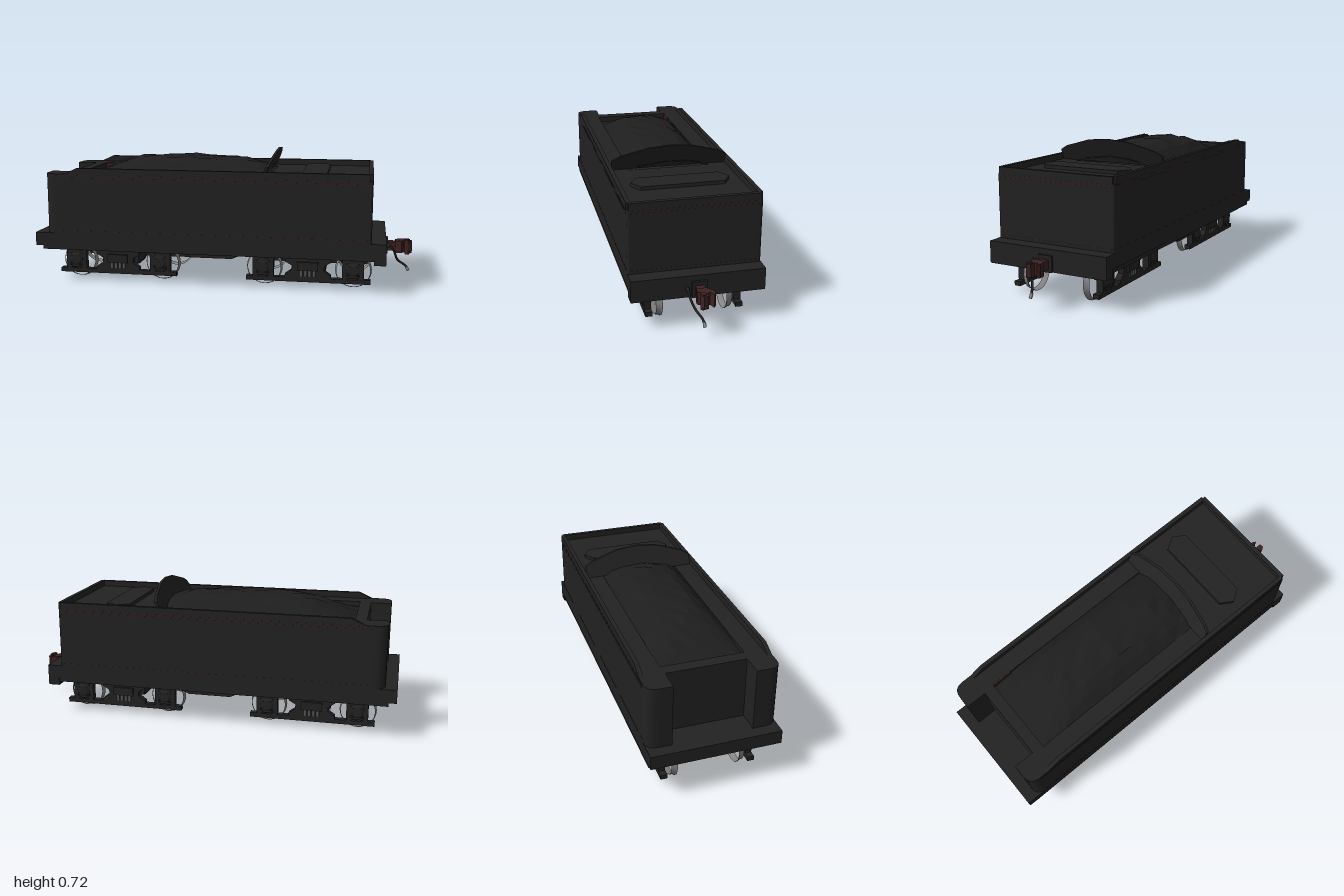
import * as THREE from 'three';

const mat = (name, color, extra = {}) => {
  const m = new THREE.MeshStandardMaterial({ color, ...extra });
  m.name = name;
  return m;
};

export function createModel() {
  const black = mat('black paint', 0x222222);
  const coalBlack = mat('coal black', 0x1e1e1e, { flatShading: true });
  const red = mat('dark red lining', 0x3c1c1c);
  const rust = mat('rusty iron', 0x3c2222);
  const steel = mat('wheel steel', 0x858585, { side: THREE.DoubleSide });
  const grey = mat('spring grey', 0x555555);

  const model = new THREE.Group();
  model.name = 'tender';
  const add = (name, geo, material, parent = model) => {
    const m = new THREE.Mesh(geo, material);
    m.name = name;
    parent.add(m);
    return m;
  };
  // box given by its limits
  const box = (name, x0, x1, y0, y1, z0, z1, material = black, parent = model) => {
    const m = add(name, new THREE.BoxGeometry(x1 - x0, y1 - y0, z1 - z0), material, parent);
    m.position.set((x0 + x1) / 2, (y0 + y1) / 2, (z0 + z1) / 2);
    return m;
  };
  const poly = pts => new THREE.Shape(pts.map(p => new THREE.Vector2(...p)));
  const extrude = (shape, depth) =>
    new THREE.ExtrudeGeometry(shape, { depth, bevelEnabled: false, curveSegments: 6 });
  // plan outline raised from y0 to y1
  const raise = (shape, y0, y1) => extrude(shape, y1 - y0).rotateX(-Math.PI / 2).translate(0, y0, 0);

  // Underframe
  box('deck', -1, 0.86, 0.2, 0.27, -0.325, 0.325);
  box('skirt', -0.96, 0.8, 0.18, 0.2, -0.322, 0.322);
  box('endBeam', 0.8, 0.86, 0.16, 0.2, -0.325, 0.325);
  const belly = poly([[-0.19, 0.18], [-0.15, 0.162], [0.07, 0.162], [0.11, 0.18]]);
  add('belly', extrude(belly, 0.62).translate(0, 0, -0.31), black);

  // Tank outline with rounded corners and a recess between two wings
  const plan = () => {
    const s = new THREE.Shape();
    s.moveTo(-0.83, -0.2);
    s.lineTo(-0.94, -0.2);
    s.lineTo(-0.94, -0.265);
    s.quadraticCurveTo(-0.94, -0.325, -0.88, -0.325);
    s.lineTo(0.77, -0.325);
    s.quadraticCurveTo(0.785, -0.325, 0.785, -0.31);
    s.lineTo(0.785, 0.31);
    s.quadraticCurveTo(0.785, 0.325, 0.77, 0.325);
    s.lineTo(-0.88, 0.325);
    s.quadraticCurveTo(-0.94, 0.325, -0.94, 0.265);
    s.lineTo(-0.94, 0.2);
    s.lineTo(-0.83, 0.2);
    s.closePath();
    return s;
  };
  add('tank', raise(plan(), 0.27, 0.55), black);
  const top = plan();
  top.holes.push(new THREE.Path([[-0.77, -0.21], [-0.77, 0.21], [0.25, 0.21], [0.25, -0.21]]
    .map(p => new THREE.Vector2(...p))));
  add('tankTop', raise(top, 0.55, 0.59), black);

  // Raised rim: two sides with a ramp, and the end
  const rim = poly([[-0.85, 0.59], [0.77, 0.59], [0.77, 0.622], [-0.76, 0.622], [-0.83, 0.59]]);
  for (const z of [-0.325, 0.303]) add('sideRim', extrude(rim, 0.022).translate(0, 0, z), black);
  box('endRim', 0.763, 0.785, 0.59, 0.622, -0.315, 0.315);
  box('bunkerLining', -0.77, -0.66, 0.552, 0.589, -0.21, -0.205, red);

  // Lining stripes on the sides and end
  for (const y of [0.285, 0.57, 0.584]) {
    for (const s of [-1, 1]) box('sideStripe', -0.88, 0.77, y - 0.0012, y + 0.0012, s * 0.325 - 0.001, s * 0.325 + 0.001, red);
    box('endStripe', 0.784, 0.786, y - 0.0012, y + 0.0012, -0.31, 0.31, red);
  }

  // Water hatch
  const hatch = poly([[0.42, -0.21], [0.485, -0.25], [0.55, -0.21], [0.55, 0.21], [0.485, 0.25], [0.42, 0.21]]);
  add('hatch', raise(hatch, 0.59, 0.608), black);

  // Arched coal board leaning backwards
  const arch = poly([[-0.302, 0.59], [0.302, 0.59], [0.302, 0.645], [0.257, 0.67], [0.115, 0.71],
    [0, 0.72], [-0.115, 0.71], [-0.257, 0.67], [-0.302, 0.645]]);
  const board = extrude(arch, 0.014).rotateY(Math.PI / 2);
  const bp = board.attributes.position;
  for (let i = 0; i < bp.count; i++) bp.setX(i, bp.getX(i) + 0.225 + (bp.getY(i) - 0.61) * 0.46);
  board.computeVertexNormals();
  add('coalBoard', board, black);

  // Coal heap: a domed grid with small seeded bumps
  let seed = 7;
  const rand = () => (seed = (seed * 16807) % 2147483647) / 2147483647;
  const ridge = [[-0.77, 0.56], [-0.62, 0.622], [-0.51, 0.662], [-0.2, 0.672], [0.1, 0.66], [0.25, 0.622]];
  const ridgeAt = x => {
    let i = 0;
    while (i < ridge.length - 2 && x > ridge[i + 1][0]) i++;
    const [a, b] = [ridge[i], ridge[i + 1]];
    return a[1] + (b[1] - a[1]) * (x - a[0]) / (b[0] - a[0]);
  };
  const coal = new THREE.PlaneGeometry(1.02, 0.42, 14, 8).rotateX(-Math.PI / 2).translate(-0.26, 0, 0);
  const cp = coal.attributes.position;
  for (let i = 0; i < cp.count; i++) {
    const x = cp.getX(i), z = cp.getZ(i);
    const dome = 1 - Math.pow(Math.abs(z) / 0.21, 3);
    cp.setY(i, 0.56 + (ridgeAt(x) - 0.56) * (0.25 + 0.75 * dome) + (rand() - 0.5) * 0.014 * dome);
  }
  coal.computeVertexNormals();
  add('coal', coal, coalBlack);

  // Trucks
  const R = 0.096;
  const wheelProfile = [[R - 0.008, 0.187], [R - 0.005, 0.167], [R, 0.163], [R, 0.157]]
    .map(p => new THREE.Vector2(...p));
  const waist = poly([[-0.12, 0.06], [0.12, 0.06], [0.12, 0.075], [0.085, 0.1], [0.085, 0.125], [0.12, 0.145],
    [0.12, 0.165], [-0.12, 0.165], [-0.12, 0.145], [-0.085, 0.125], [-0.085, 0.1], [-0.12, 0.075]]);
  const makeTruck = cx => {
    const t = new THREE.Group();
    t.name = 'truck';
    t.position.x = cx;
    model.add(t);
    box('bolster', -0.09, 0.09, 0.08, 0.18, -0.205, 0.205, black, t).scale.z = 0.76;
    box('bolsterCentre', -0.07, 0.07, 0.055, 0.1, -0.07, 0.07, black, t);
    for (const s of [-1, 1]) {
      box('bottomBar', -0.325, 0.325, 0.037, 0.06, s * 0.224 - 0.017, s * 0.224 + 0.017, black, t);
      box('topBar', -0.29, 0.29, 0.16, 0.185, s * 0.224 - 0.017, s * 0.224 + 0.017, black, t);
      add('frameWaist', extrude(waist, 0.034).translate(0, 0, s * 0.224 - 0.017), black, t);
      box('springSeat', -0.055, 0.055, 0.1, 0.145, s * 0.232 - 0.02, s * 0.232 + 0.02, black, t);
      for (let i = -1.5; i <= 1.5; i++) {
        const c = add('spring', new THREE.CylinderGeometry(0.009, 0.009, 0.03, 8), grey, t);
        c.position.set(i * 0.022, 0.083, s * 0.238);
      }
      for (const wx of [-0.235, 0.235]) {
        for (const p of [-1, 1]) box('pedestal', wx + p * 0.042 - 0.014, wx + p * 0.042 + 0.014, 0.06, 0.165,
          s * 0.224 - 0.017, s * 0.224 + 0.017, black, t);
        box('axleBox', wx - 0.035, wx + 0.035, 0.068, 0.16, s * 0.226 - 0.018, s * 0.226 + 0.018, black, t);
        // tapered cover on the axle box
        const cover = add('boxCover', new THREE.CylinderGeometry(0.033, 0.05, 0.014, 4).rotateY(Math.PI / 4)
          .rotateX(s * Math.PI / 2), black, t);
        cover.position.set(wx, 0.112, s * 0.249);
        const stub = add('axleStub', new THREE.CylinderGeometry(0.02, 0.02, 0.045, 10).rotateX(Math.PI / 2), black, t);
        stub.position.set(wx, 0.118, s * 0.193);
        const wheel = add('wheelRim', new THREE.LatheGeometry(wheelProfile, 28).rotateX(s * Math.PI / 2), steel, t);
        wheel.position.set(wx, R, 0);
      }
    }
  };
  [-0.57, 0.46].forEach(makeTruck);

  // Coupler
  box('couplerPlate', 0.86, 0.872, 0.16, 0.242, -0.037, 0.037);
  box('couplerShank', 0.87, 0.925, 0.175, 0.222, -0.022, 0.022, rust);
  const jaw = poly([[0.912, -0.03], [0.945, -0.034], [0.955, -0.012], [0.972, -0.012], [0.985, -0.024], [1, -0.015],
    [0.995, 0.008], [0.965, 0.008], [0.96, 0.024], [0.99, 0.036], [0.975, 0.047], [0.94, 0.042], [0.912, 0.02]]);
  add('couplerJaw', raise(jaw, 0.165, 0.23), rust);
  const pin = add('couplerPin', new THREE.CylinderGeometry(0.014, 0.014, 0.078, 10), rust);
  pin.position.set(0.975, 0.196, 0.012);

  // Brake hose
  const hose = new THREE.CatmullRomCurve3([[0.855, 0.212, 0.06], [0.885, 0.21, 0.06], [0.905, 0.18, 0.055],
    [0.925, 0.13, 0.035], [0.96, 0.1, 0.012], [0.975, 0.085, 0.006]].map(p => new THREE.Vector3(...p)));
  add('brakeHose', new THREE.TubeGeometry(hose, 20, 0.006, 8), black);
  const elbow = add('hoseElbow', new THREE.SphereGeometry(0.011, 10, 8), black);
  elbow.position.set(0.875, 0.21, 0.06);
  const tip = add('hoseTip', new THREE.CylinderGeometry(0.008, 0.008, 0.024, 10), steel);
  tip.position.set(0.98, 0.075, 0.005);
  tip.rotation.z = 0.5;

  return model;
}
